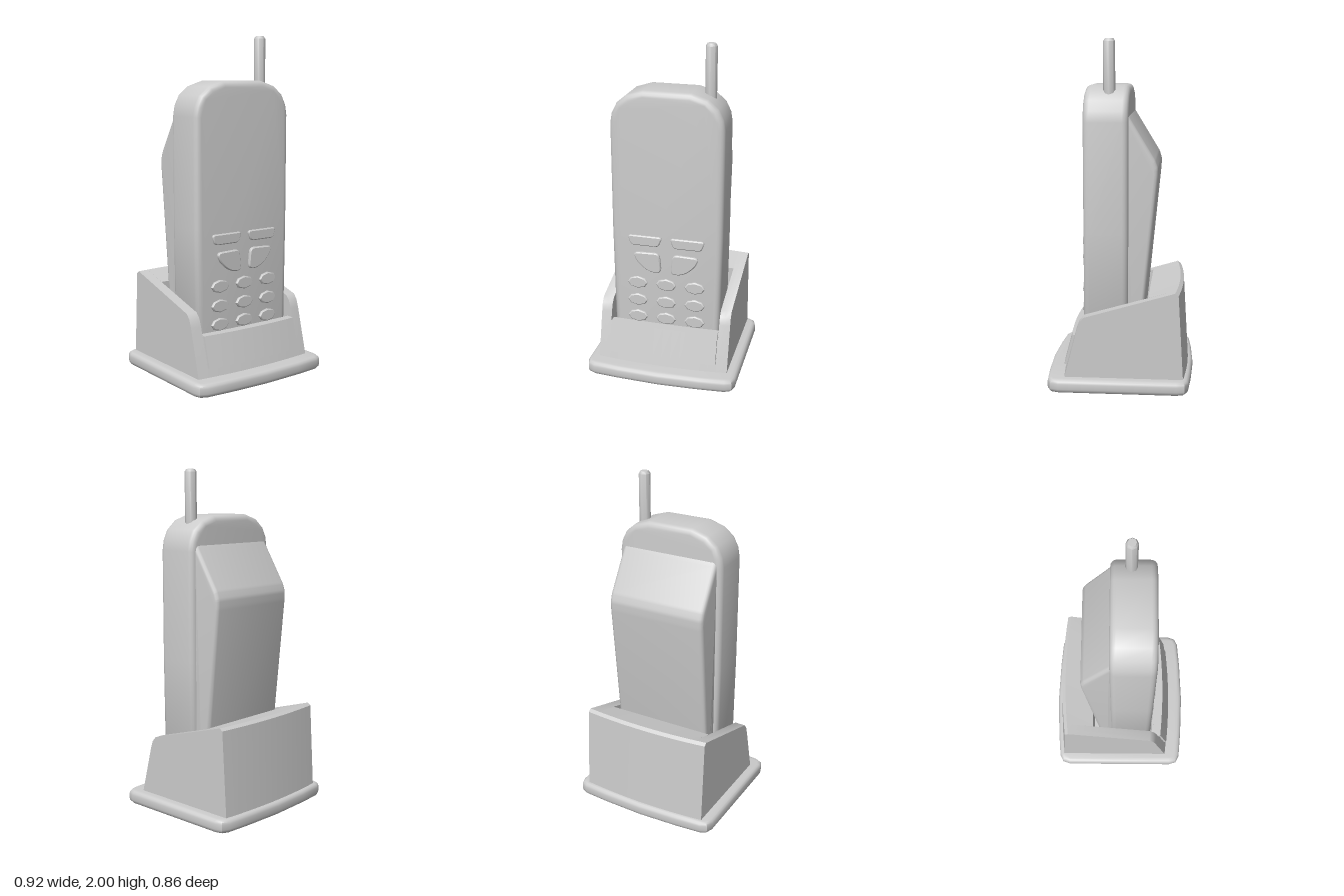
import * as THREE from 'three';
import { toCreasedNormals } from 'three/addons/utils/BufferGeometryUtils.js';

const material = new THREE.MeshStandardMaterial({ color: 0xcccccc });

// Polygon outline whose corners are cut and replaced by curves of about size r
function roundedShape(points, r = 0) {
  const shape = new THREE.Shape();
  const v = points.map(([x, y]) => new THREE.Vector2(x, y));
  if (!r) return shape.setFromPoints(v);
  v.forEach((p, i) => {
    const prev = v[(i + v.length - 1) % v.length], next = v[(i + 1) % v.length];
    const toward = (q) => p.clone().lerp(q, Math.min(0.45, r / p.distanceTo(q)));
    const a = toward(prev), b = toward(next);
    if (i) shape.lineTo(a.x, a.y); else shape.moveTo(a.x, a.y);
    shape.quadraticCurveTo(p.x, p.y, b.x, b.y);
  });
  shape.closePath();
  return shape;
}

// Extrusion of total thickness depth, centred on z = 0, keeping the outline size
function slab(shape, depth, bevel = 0, steps = 1, bevelSegments = 3) {
  const g = new THREE.ExtrudeGeometry(shape, {
    depth: depth - 2 * bevel, steps, curveSegments: 4,
    bevelEnabled: bevel > 0, bevelSize: bevel, bevelThickness: bevel,
    bevelOffset: -bevel, bevelSegments,
  });
  return g.translate(0, 0, bevel - depth / 2);
}

// Side profile given as [z, y], swept across x
const across = (points, width, x = 0, { r = 0, bevel = 0, steps = 1 } = {}) =>
  slab(roundedShape(points, r), width, bevel, steps).rotateY(-Math.PI / 2).translate(x, 0, 0);

// Bow the front and back faces outward toward the middle
function bow(g) {
  const p = g.attributes.position;
  for (let i = 0; i < p.count; i++) {
    const x = p.getX(i), z = p.getZ(i);
    const weight = THREE.MathUtils.clamp((Math.abs(z) - 0.17) / 0.08, 0, 1);
    p.setZ(i, z + Math.sign(z) * weight * 0.025 * (1 - (x / 0.4) ** 2));
  }
  return g;
}

function add(parent, name, geometry, crease = 0.75) {
  const mesh = new THREE.Mesh(toCreasedNormals(geometry, crease), material);
  mesh.name = name;
  parent.add(mesh);
  return mesh;
}

function group(parent, name) {
  const g = new THREE.Group();
  g.name = name;
  parent.add(g);
  return g;
}

function buildCradle(root) {
  const cradle = group(root, 'cradle');

  // Base plate with bowed front and back
  const quarter = [[0.46, 0.34], [0.445, 0.385], [0.405, 0.405], [0.25, 0.418], [0, 0.428]];
  const front = [...quarter, ...quarter.slice(0, -1).reverse().map(([x, z]) => [-x, z])];
  const outline = [...front, ...front.map(([x, z]) => [-x, -z])];
  add(cradle, 'basePlate',
    slab(roundedShape(outline), 0.08, 0.025).rotateX(-Math.PI / 2).translate(0, 0.04, 0));

  // Side walls
  const back = [[-0.325, 0.588], [-0.345, 0.574], [-0.375, 0.07]];
  const wall = [[0.31, 0.07], [0.235, 0.36], [0.22, 0.405], [0.195, 0.435], ...back];
  for (const [side, name] of [[1, 'leftWall'], [-1, 'rightWall']])
    add(cradle, name, bow(across(wall, 0.065, side * 0.3675, { steps: 2 })));

  // Thick rear block, front lip and pocket floor
  add(cradle, 'rearBlock',
    bow(across([[-0.17, 0.07], [-0.17, 0.542], ...back], 0.67, 0, { steps: 12 })));
  add(cradle, 'frontLip',
    bow(across([[0.31, 0.07], [0.249, 0.305], [0.205, 0.305], [0.205, 0.07]], 0.67, 0, { steps: 12 })));
  add(cradle, 'frontPanel',
    bow(across([[0.309, 0.13], [0.261, 0.31], [0.215, 0.31], [0.215, 0.13]], 0.66, 0, { steps: 12 })));
  add(cradle, 'pocketFloor', new THREE.BoxGeometry(0.67, 0.05, 0.4).translate(0, 0.095, 0.02));
}

function buildPhone(root) {
  const phone = group(root, 'phone');

  // Body
  const right = [[0.3, 0.12], [0.326, 0.16], [0.335, 0.9], [0.335, 1.54], [0.325, 1.6],
    [0.295, 1.66], [0.235, 1.71], [0.14, 1.74]];
  const outline = [...right, ...right.slice().reverse().map(([x, y]) => [-x, y])];
  add(phone, 'body', slab(roundedShape(outline), 0.258, 0.035, 1, 4).translate(0, 0, 0.074));

  // Battery pack on the back
  const pack = [[-0.03, 0.13], [-0.03, 1.61], [-0.06, 1.565], [-0.206, 1.325], [-0.221, 1.28],
    [-0.22, 1.23], [-0.112, 0.13]];
  add(phone, 'batteryPack', across(pack.reverse(), 0.61, 0, { r: 0.012, bevel: 0.022 }));

  // Antenna with a chamfered tip
  const rod = [[0, 1.69], [0.034, 1.69], [0.034, 1.985], [0.024, 2], [0, 2]]
    .map(([x, y]) => new THREE.Vector2(x, y));
  add(phone, 'antenna', new THREE.LatheGeometry(rod, 8).translate(0.225, 0, 0.06), 0.9);

  // Keypad
  const keypad = group(phone, 'keypad');
  const key = (name, shape, x, y, top) =>
    add(keypad, name, slab(shape, 0.04, 0.006, 1, 1).translate(x, y, top - 0.02));
  for (const y of [0.566, 0.45, 0.34])
    for (const x of [-0.176, 0, 0.176])
      key('numberKey', new THREE.Shape().absellipse(0, 0, 0.062, 0.038, 0, Math.PI * 2), x, y, 0.216);

  const wide = [[0.022, 0.872], [0.235, 0.872], [0.215, 0.81], [0.045, 0.81]];
  const curved = [[0.028, 0.645], [0.04, 0.77], [0.2, 0.765], [0.185, 0.715], [0.135, 0.665], [0.085, 0.642]];
  for (const s of [1, -1]) {
    const mirrored = (pts) => pts.map(([x, y]) => [s * x, y]);
    key('wideKey', roundedShape(mirrored(wide), 0.022), 0, 0, 0.216);
    key('curvedKey', roundedShape(mirrored(curved), 0.03), 0, 0, 0.22);
  }
}

export function createModel() {
  const model = new THREE.Group();
  model.name = 'cordlessPhone';
  buildCradle(model);
  buildPhone(model);
  return model;
}
